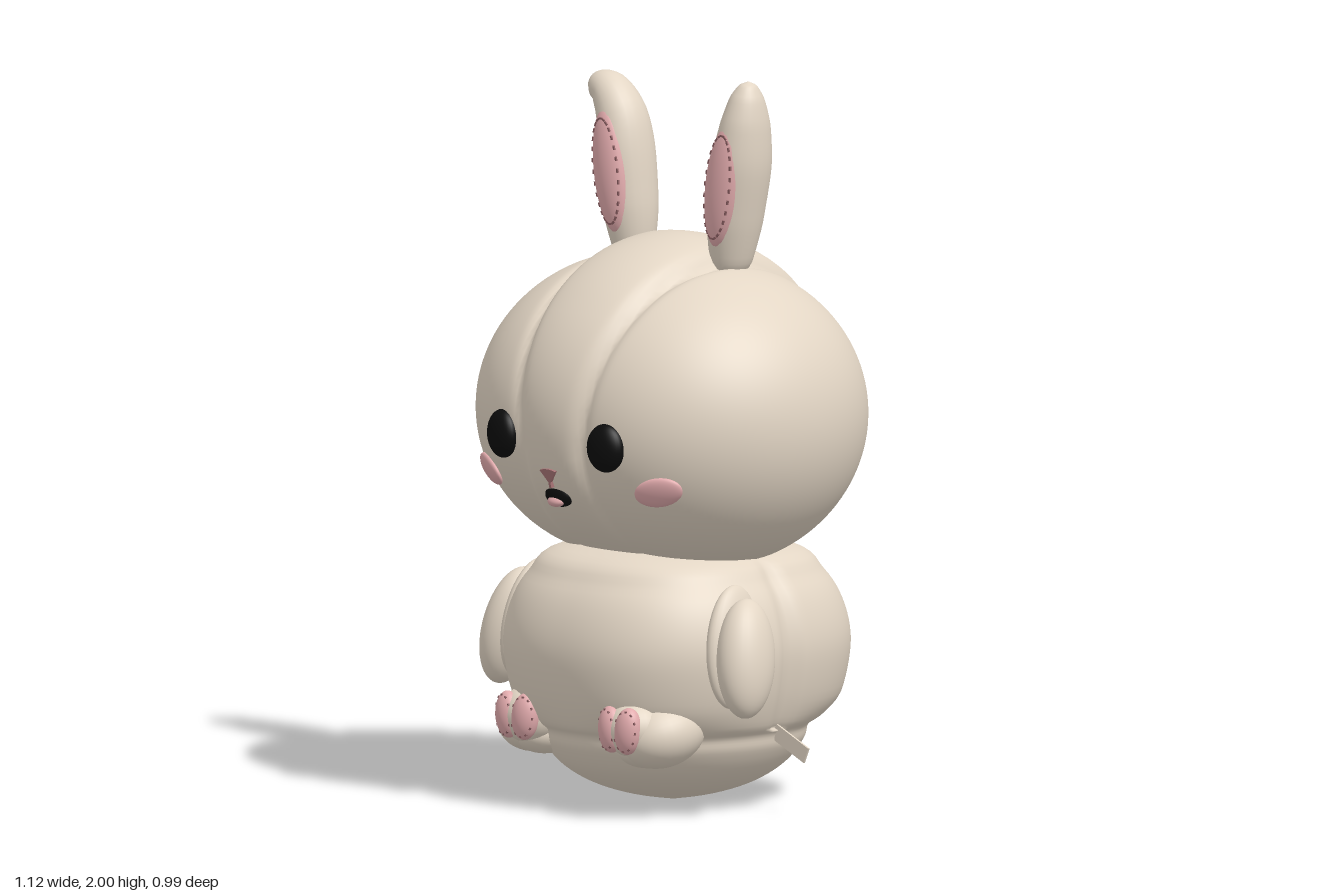
import * as THREE from 'three';
import { mergeVertices } from 'three/addons/utils/BufferGeometryUtils.js';

const mat = (name, color) => {
  const m = new THREE.MeshStandardMaterial({ color });
  m.name = name;
  return m;
};

// welds the geometry and gives it smooth normals
function smooth(geo) {
  geo.deleteAttribute('uv');
  geo.deleteAttribute('normal');
  const g = mergeVertices(geo, 1e-4);
  g.computeVertexNormals();
  return g;
}

// moves every vertex by a rule
function deform(geo, rule) {
  const p = geo.attributes.position, v = new THREE.Vector3();
  for (let i = 0; i < p.count; i++) {
    v.fromBufferAttribute(p, i);
    rule(v);
    p.setXYZ(i, v.x, v.y, v.z);
  }
  return smooth(geo);
}

// head seams by angle around x (0 front, 90 top): angle, half width, middle lobe rise, groove depth
const SEAM = [
  [-90, 0.08, 0, 0], [-50, 0.13, 0.012, 0], [-25, 0.115, 0.03, 0], [-8, 0.11, 0.03, 0.006],
  [45, 0.16, 0.045, 0.014], [90, 0.19, 0.07, 0.016], [135, 0.18, 0.055, 0.016],
  [180, 0.17, 0.02, 0.016], [225, 0.12, 0.02, 0.016], [270, 0.08, 0, 0],
];
function seamAt(deg) {
  let i = 0;
  while (i < SEAM.length - 2 && deg > SEAM[i + 1][0]) i++;
  const a = SEAM[i], b = SEAM[i + 1], t = (deg - a[0]) / (b[0] - a[0]);
  return [1, 2, 3].map((k) => THREE.MathUtils.lerp(a[k], b[k], t));
}

// two round side lobes with a raised lobe between them
function headGeometry() {
  const geo = new THREE.SphereGeometry(1, 96, 130).rotateZ(-Math.PI / 2);
  return deform(geo, (v) => {
    const ang = Math.atan2(v.y, v.z);
    let deg = THREE.MathUtils.radToDeg(ang);
    if (deg < -90) deg += 360;
    const [w, rise, groove] = seamAt(deg);
    const x = v.x * 0.56, d = Math.abs(x) - w;
    const out = Math.max(Math.abs(x) - 0.13, 0) / 0.43;
    const r = Math.sqrt(Math.max(1 - out * out, 0));
    const lift = (d < 0 ? rise * Math.pow(1 - (x / w) ** 2, 0.6) : 0) - groove * Math.exp(-((d / 0.022) ** 2));
    const depth = v.z > 0 ? 0.465 : 0.452;
    v.set(x, 1.075 + Math.sin(ang) * (0.42 * r + lift), Math.cos(ang) * (depth * r + lift));
  });
}

function bodyGeometry() {
  const outline = [[0, 0], [0.13, 0.025], [0.23, 0.06], [0.305, 0.11], [0.35, 0.17], [0.362, 0.212],
    [0.39, 0.245], [0.42, 0.34], [0.432, 0.45], [0.412, 0.55], [0.368, 0.63], [0.29, 0.7], [0, 0.75]];
  const pts = new THREE.SplineCurve(outline.map((p) => new THREE.Vector2(...p))).getPoints(60);
  pts.forEach((p) => { p.x = Math.max(p.x, 0); });
  return deform(new THREE.LatheGeometry(pts, 128), (v) => {
    // fuller corners above the waist seam, fullest at the back
    const r = Math.hypot(v.x, v.z);
    if (r < 1e-5) return;
    const c = Math.abs(v.x / r), s = Math.abs(v.z / r);
    const n = 2 + (v.z < 0 ? 0.75 : 0.35) * THREE.MathUtils.smoothstep(v.y, 0.2, 0.3);
    const full = Math.pow(c ** n + s ** n, -1 / n);
    const sideSeam = v.y > 0.225 ? 1 - 0.06 * Math.exp(-(((v.z + 0.03) / 0.025) ** 2)) : 1;
    v.x *= full * sideSeam;
    v.z *= full * 1.04;
  });
}

// soft tube through stations [x, y, half width, half depth] at a fixed z
function earGeometry(stations, z) {
  const path = new THREE.CatmullRomCurve3(stations.map((s) => new THREE.Vector3(s[0], s[1], z)));
  const size = new THREE.CatmullRomCurve3(stations.map((s) => new THREE.Vector3(s[2], s[3], 0)));
  const rings = 36, sides = 24, pos = [], index = [];
  for (let i = 0; i <= rings; i++) {
    const c = path.getPoint(i / rings), t = path.getTangent(i / rings), s = size.getPoint(i / rings);
    for (let j = 0; j < sides; j++) {
      const a = (j / sides) * Math.PI * 2, u = Math.cos(a) * s.x;
      pos.push(c.x + t.y * u, c.y - t.x * u, c.z + Math.sin(a) * s.y);
      if (i === rings) continue;
      const p = i * sides + j, q = i * sides + ((j + 1) % sides);
      index.push(p, p + sides, q, q, p + sides, q + sides);
    }
  }
  const g = new THREE.BufferGeometry();
  g.setAttribute('position', new THREE.Float32BufferAttribute(pos, 3));
  g.setIndex(index);
  g.computeVertexNormals();
  return g;
}

export function createModel() {
  const root = new THREE.Group();
  const plush = mat('beige plush', 0xe3d6c5);
  const pink = mat('pink felt', 0xe2abad);
  const black = mat('black', 0x0c0c0c);
  const rose = mat('rose nose', 0xa87476);
  const thread = mat('dark rose thread', 0x8f6265);

  const add = (name, geo, material, parent = root) => {
    const m = new THREE.Mesh(geo, material);
    m.name = name;
    parent.add(m);
    return m;
  };
  const ball = new THREE.SphereGeometry(1, 32, 24);
  const blob = (name, material, [x, y, z], [rx, ry, rz], [ax, ay, az] = [0, 0, 0], parent = root) => {
    const m = add(name, ball, material, parent);
    m.position.set(x, y, z);
    m.scale.set(rx, ry, rz);
    m.rotation.set(ax, ay, az);
  };
  // short stitches around the front of an oval patch
  const stitches = (parent, rx, ry, rz, count, len) => {
    const geo = new THREE.BoxGeometry(0.005, len, 0.005);
    const k = 0.84;
    for (let i = 0; i < count; i++) {
      const a = (i / count) * Math.PI * 2;
      const s = add('stitch', geo, thread, parent);
      s.position.set(rx * k * Math.cos(a), ry * k * Math.sin(a), rz * Math.sqrt(1 - k * k));
      s.rotation.z = Math.atan2(ry * Math.cos(a), -rx * Math.sin(a)) - Math.PI / 2;
    }
  };

  add('head', headGeometry(), plush);
  add('body', bodyGeometry(), plush);

  // ears: the left one upright, the right one with a folded tip
  add('leftEar', earGeometry([[0.19, 1.44, 0.02, 0.03], [0.19, 1.5, 0.056, 0.06], [0.205, 1.62, 0.074, 0.082],
    [0.228, 1.76, 0.078, 0.088], [0.245, 1.88, 0.064, 0.075], [0.252, 1.955, 0.044, 0.05],
    [0.256, 1.99, 0.022, 0.025], [0.257, 2.0, 0.001, 0.001]], -0.035), plush);
  add('rightEar', earGeometry([[-0.19, 1.44, 0.02, 0.03], [-0.19, 1.5, 0.056, 0.06], [-0.203, 1.62, 0.074, 0.082],
    [-0.218, 1.76, 0.074, 0.086], [-0.237, 1.86, 0.066, 0.075], [-0.28, 1.92, 0.054, 0.06],
    [-0.32, 1.932, 0.042, 0.044], [-0.338, 1.932, 0.026, 0.028], [-0.346, 1.932, 0.001, 0.001]], -0.035), plush);

  for (const s of [1, -1]) {
    const side = s > 0 ? 'left' : 'right';

    // inner ear patch with stitching
    const inner = new THREE.Group();
    inner.name = side + 'InnerEar';
    inner.position.set(s * 0.217, 1.712, 0.026);
    inner.rotation.z = -s * 0.14;
    root.add(inner);
    blob('earPatch', pink, [0, 0, 0], [0.055, 0.172, 0.036], undefined, inner);
    stitches(inner, 0.055, 0.172, 0.036, 28, 0.012);

    // face
    blob(side + 'Eye', black, [s * 0.2, 1.033, 0.455], [0.058, 0.067, 0.036], [0, s * 0.2, 0]);
    blob(side + 'Cheek', pink, [s * 0.325, 0.915, 0.376], [0.07, 0.044, 0.018], [0.45, s * 0.48, 0]);

    // arms: an outer pad on a flat inner gusset
    blob(side + 'Arm', plush, [s * 0.455, 0.45, 0.17], [0.07, 0.165, 0.09], [-0.2, 0, s * 0.17]);
    blob(side + 'ArmGusset', plush, [s * 0.395, 0.475, 0.16], [0.04, 0.17, 0.095], [-0.2, 0, s * 0.12]);

    // feet with a split sole pad
    blob(side + 'Foot', plush, [s * 0.235, 0.235, 0.275], [0.112, 0.095, 0.13], [0.25, 0, 0]);
    blob(side + 'Toe', plush, [s * 0.205, 0.248, 0.345], [0.086, 0.08, 0.085]);
    blob(side + 'Heel', plush, [s * 0.2, 0.195, 0.29], [0.08, 0.06, 0.1]);
    for (const h of [1, -1]) {
      const pad = new THREE.Group();
      pad.name = side + 'SolePad';
      pad.position.set(s * 0.2 + h * 0.033, 0.25, 0.402);
      pad.rotation.set(0, h * 0.2, -h * 0.08);
      root.add(pad);
      blob('padHalf', pink, [0, 0, 0], [0.04, 0.065, 0.034], undefined, pad);
      stitches(pad, 0.04, 0.065, 0.032, 12, 0.007);
    }

    // tail lobe
    blob(side + 'TailLobe', plush, [s * 0.038, 0.375, -0.455], [0.03, 0.075, 0.04], [0, 0, -s * 0.2]);
  }

  // nose
  const tri = new THREE.Shape();
  tri.moveTo(-0.03, 0.015);
  tri.quadraticCurveTo(0, 0.025, 0.03, 0.015);
  tri.lineTo(0.004, -0.018);
  tri.lineTo(0.004, -0.035);
  tri.lineTo(-0.004, -0.035);
  tri.lineTo(-0.004, -0.018);
  const nose = add('nose', new THREE.ExtrudeGeometry(tri, { depth: 0.03, bevelEnabled: false }), rose);
  nose.position.set(0, 0.945, 0.45);
  nose.rotation.x = 0.25;

  // open mouth with tongue
  blob('mouth', black, [0, 0.88, 0.434], [0.05, 0.032, 0.026], [0.35, 0, 0]);
  blob('tongue', pink, [0, 0.867, 0.445], [0.03, 0.016, 0.022], [0.35, 0, 0]);

  // sewn-in side tag
  const tag = add('sideTag', new THREE.BoxGeometry(0.16, 0.045, 0.006), plush);
  tag.position.set(0.405, 0.196, -0.04);
  tag.rotation.z = -0.42;

  return root;
}
